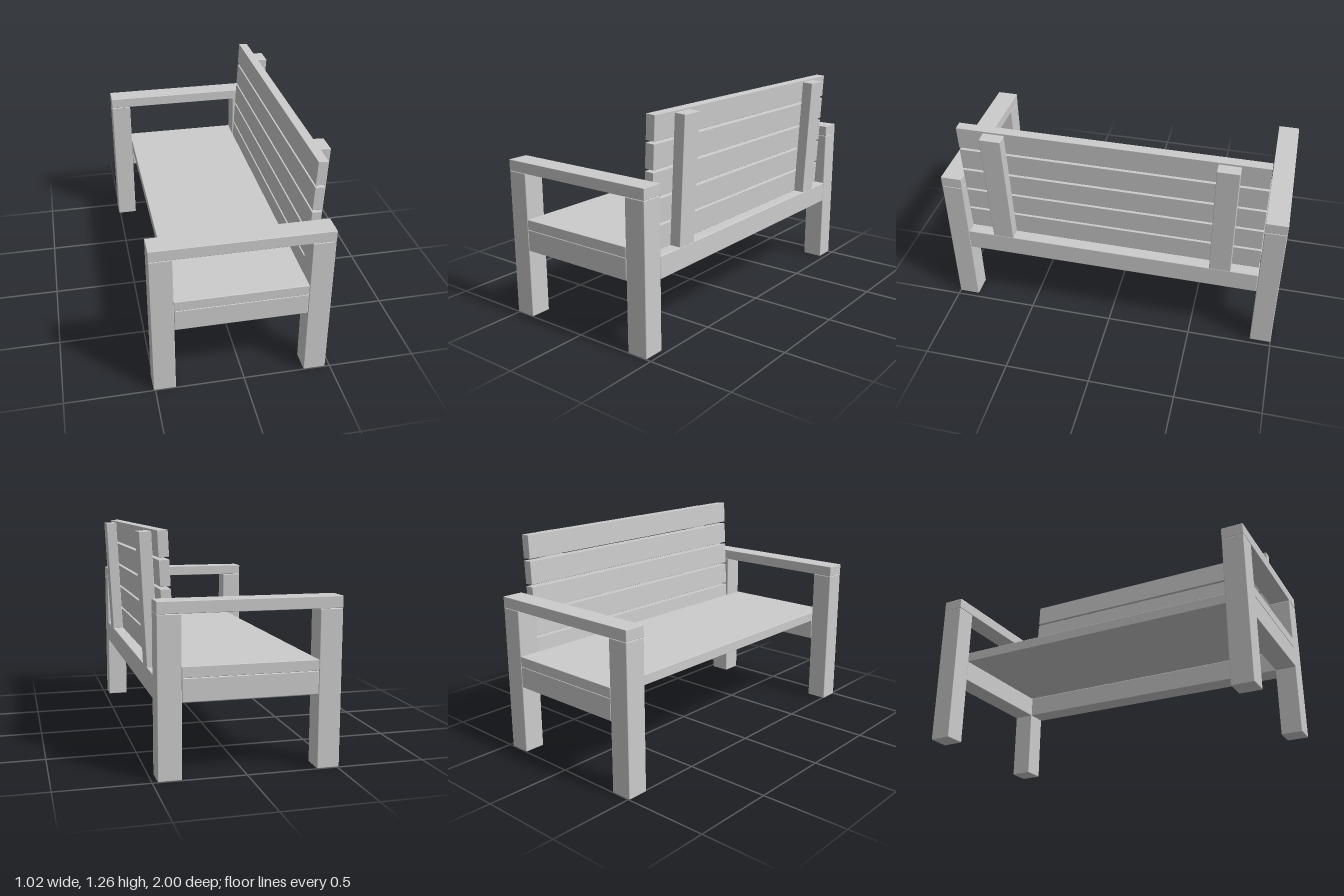
import * as THREE from 'three';
import { RoundedBoxGeometry } from 'three/addons/geometries/RoundedBoxGeometry.js';

const material = new THREE.MeshStandardMaterial({ color: 0xcccccc });

// Softly bevelled timber given by its extents on each axis
function timber(parent, name, [x0, x1], [y0, y1], [z0, z1], bevel = 0.005) {
  const size = [x1 - x0, y1 - y0, z1 - z0];
  const geometry = bevel
    ? new RoundedBoxGeometry(...size, 2, bevel)
    : new THREE.BoxGeometry(...size);
  const mesh = new THREE.Mesh(geometry, material);
  mesh.name = name;
  mesh.position.set((x0 + x1) / 2, (y0 + y1) / 2, (z0 + z1) / 2);
  parent.add(mesh);
  return mesh;
}

export function createModel() {
  const bench = new THREE.Group();
  bench.name = 'bench';

  const front = [-0.51, -0.385], back = [0.345, 0.472], between = [-0.385, 0.345];

  // End frames: legs, side rail and armrest
  for (const [side, z] of [['left', [0.875, 1]], ['right', [-1, -0.875]]]) {
    const frame = new THREE.Group();
    frame.name = side + 'EndFrame';
    timber(frame, 'frontLeg', front, [0, 0.856], z);
    timber(frame, 'backLeg', back, [0, 0.856], z);
    timber(frame, 'sideRail', between, [0.405, 0.531], z);
    timber(frame, 'armrest', [-0.51, 0.472], [0.856, 0.92], z, 0.003);
    bench.add(frame);
  }

  // Seat board and the beam that carries the backrest
  timber(bench, 'seat', between, [0.531, 0.59], [-1, 1], 0.003);
  timber(bench, 'backBeam', back, [0.405, 0.532], [-0.875, 0.875]);

  // Backrest leaning slightly outwards from the beam
  const backrest = new THREE.Group();
  backrest.name = 'backrest';
  backrest.position.set(0.405, 0.532, 0);
  backrest.rotation.z = -0.049;
  const slatHeight = 0.135, pitch = 0.148;
  for (let i = 0; i < 5; i++) {
    const y = i * pitch;
    timber(backrest, 'backSlat' + (i + 1), [-0.055, 0], [y, y + slatHeight], [-0.872, 0.872], 0.002);
  }
  for (const s of [-1, 1]) {
    const post = timber(backrest, s > 0 ? 'leftPost' : 'rightPost', [0, 0.066], [0, 0.717], [-0.0615, 0.0615], 0.003);
    post.position.z = s * 0.653;
  }
  bench.add(backrest);

  return bench;
}
